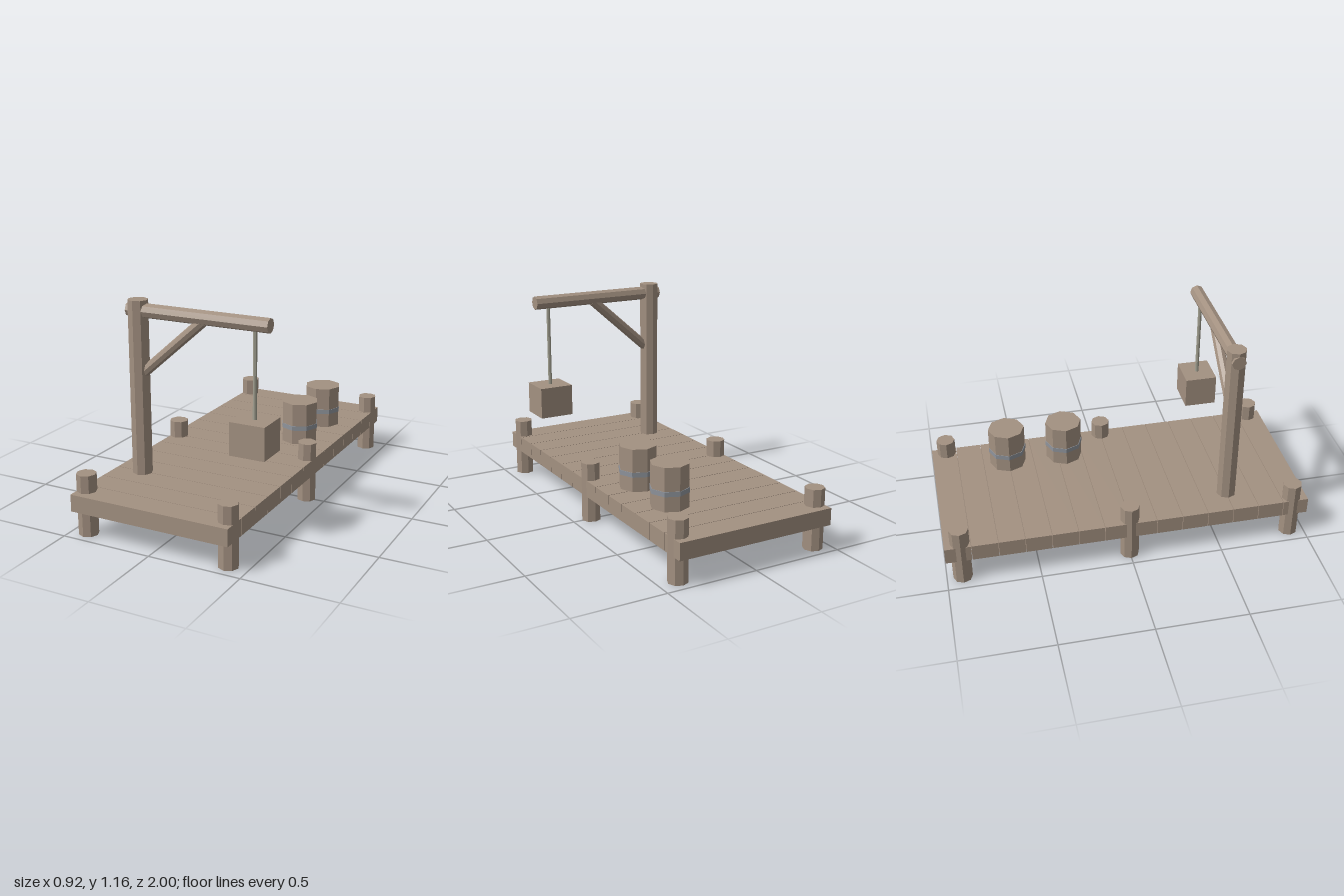
import * as THREE from 'three';

const flat = (name, color) => {
  const m = new THREE.MeshStandardMaterial({ color, flatShading: true });
  m.name = name;
  return m;
};

export function createModel() {
  const wood = flat('weathered wood', 0xa39181);
  const iron = flat('grey iron', 0x8f949c);
  const hemp = flat('rope', 0xa19f90);
  const dock = new THREE.Group();
  dock.name = 'dock';

  const add = (name, geometry, material, x, y, z) => {
    const mesh = new THREE.Mesh(geometry, material);
    mesh.name = name;
    mesh.position.set(x, y, z);
    dock.add(mesh);
    return mesh;
  };
  // Eight-sided upright standing between two heights
  const upright = (name, r, y0, y1, x, z, material = wood) =>
    add(name, new THREE.CylinderGeometry(r, r, y1 - y0, 8), material, x, (y0 + y1) / 2, z);
  // Eight-sided timber between two points
  const timber = (name, r, a, b) => {
    const dir = b.clone().sub(a);
    const mid = a.clone().add(b).multiplyScalar(0.5);
    const mesh = add(name, new THREE.CylinderGeometry(r, r, dir.length(), 8), wood, mid.x, mid.y, mid.z);
    mesh.quaternion.setFromUnitVectors(new THREE.Vector3(0, 1, 0), dir.normalize());
  };

  // Deck planks with hairline gaps
  const count = 14, pitch = 2 / count;
  const plank = new THREE.BoxGeometry(0.885, 0.091, pitch - 0.003);
  for (let i = 0; i < count; i++) add('plank', plank, wood, -0.007, 0.19, -1 + pitch * (i + 0.5));

  // Piles along both edges
  for (const x of [-0.408, 0.395])
    for (const z of [-0.914, 0, 0.914]) upright('pile', 0.052, 0, 0.329, x, z);

  // Crane: mast, boom and diagonal brace
  const cz = 0.573;
  upright('craneMast', 0.053, 0.22, 1.16, -0.293, cz);
  timber('craneBoom', 0.038, new THREE.Vector3(-0.348, 1.106, cz), new THREE.Vector3(0.443, 1.106, cz));
  timber('craneBrace', 0.028, new THREE.Vector3(-0.28, 0.772, cz), new THREE.Vector3(0.08, 1.088, cz));

  // Hanging crate
  upright('rope', 0.011, 0.62, 1.09, 0.362, cz, hemp);
  add('crate', new THREE.BoxGeometry(0.192, 0.174, 0.178), wood, 0.362, 0.541, cz + 0.001);

  // Barrels with an iron hoop
  for (const z of [-0.247, -0.574]) {
    upright('barrel', 0.102, 0.241, 0.472, 0.239, z);
    upright('barrelHoop', 0.105, 0.321, 0.347, 0.239, z, iron);
  }
  return dock;
}
